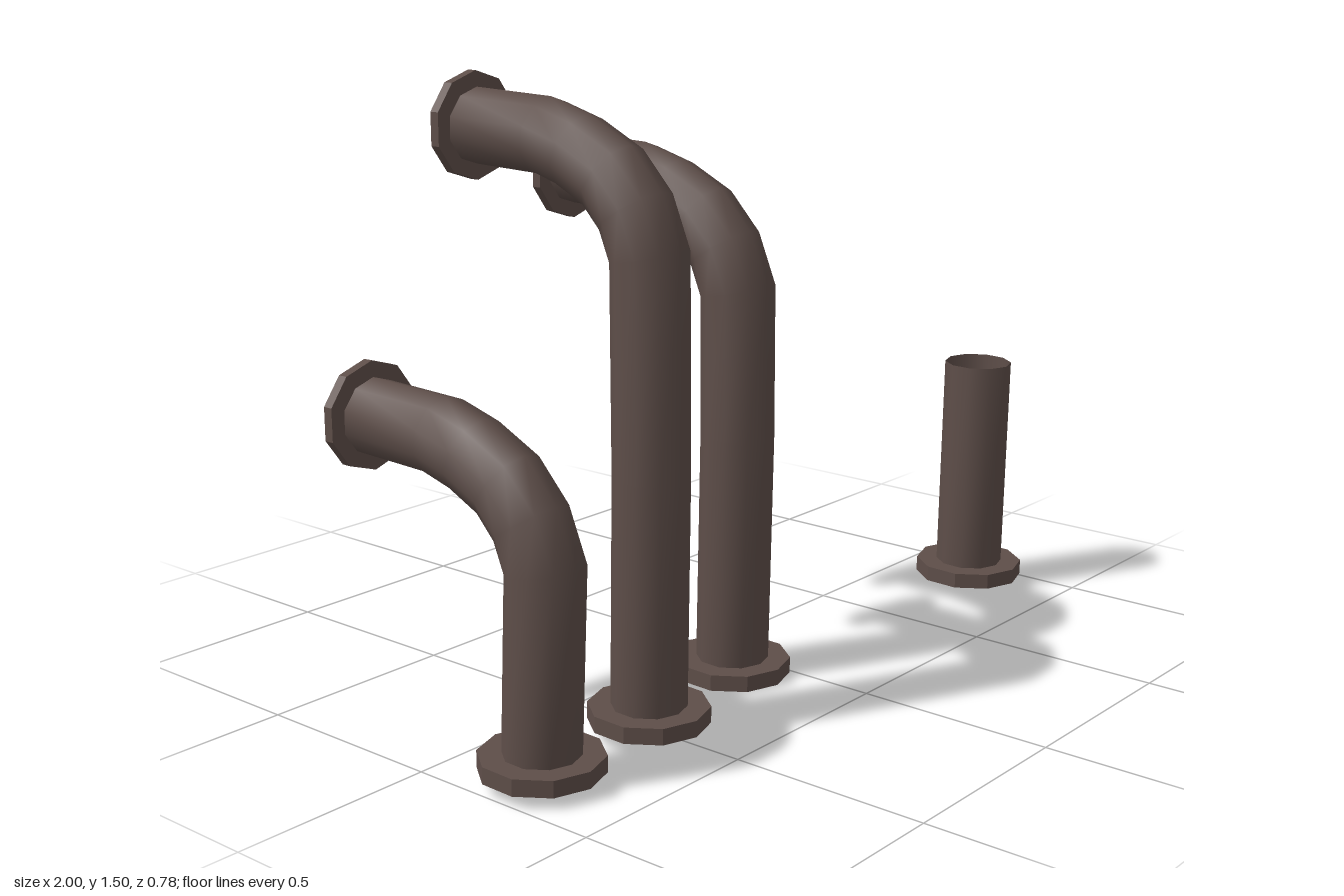
import * as THREE from 'three';

const SIDES = 10;
const PIPE_RADIUS = 0.09;

// Sweep a ten-sided ring along a path of [z, y] points, mitred at each bend
function sweepPipe(path) {
  const pts = path.map(([z, y]) => new THREE.Vector2(z, y));
  const positions = [];
  const indices = [];
  pts.forEach((p, i) => {
    const before = p.clone().sub(pts[Math.max(i - 1, 0)]).normalize();
    const after = pts[Math.min(i + 1, pts.length - 1)].clone().sub(p).normalize();
    const dir = before.clone().add(after).normalize();
    const stretch = 1 / dir.dot(i ? before : after);
    for (let k = 0; k < SIDES; k++) {
      const a = (k / SIDES) * Math.PI * 2;
      const out = Math.cos(a) * PIPE_RADIUS * stretch;
      positions.push(Math.sin(a) * PIPE_RADIUS, p.y - dir.x * out, p.x + dir.y * out);
      if (i < pts.length - 1) {
        const b = i * SIDES + k;
        const c = i * SIDES + ((k + 1) % SIDES);
        indices.push(b, c, c + SIDES, b, c + SIDES, b + SIDES);
      }
    }
  });
  const geometry = new THREE.BufferGeometry();
  geometry.setAttribute('position', new THREE.Float32BufferAttribute(positions, 3));
  geometry.setIndex(indices);
  geometry.computeVertexNormals();
  return geometry;
}

// Faceted ten-sided disc
function flangeGeometry(radius, thickness) {
  const geometry = new THREE.CylinderGeometry(radius, radius, thickness, SIDES).toNonIndexed();
  geometry.computeVertexNormals();
  return geometry;
}

export function createModel() {
  const model = new THREE.Group();
  const metal = new THREE.MeshStandardMaterial({ color: 0x5e4e49, side: THREE.DoubleSide });
  metal.name = 'dark brown metal';

  const baseFlange = flangeGeometry(0.145, 0.04);
  const endFlange = flangeGeometry(0.128, 0.025);

  // Elbow and outlet, as [z, y] offsets from the outlet centre
  const elbow = [
    [0.535, -0.252], [0.495, -0.155], [0.427, -0.083],
    [0.325, -0.034], [0.228, -0.007], [0, 0],
  ];

  function addPipe(name, x, baseY, baseZ, path, outlet) {
    const group = new THREE.Group();
    group.name = name;
    group.position.x = x;
    const add = (part, geometry, y, z, tilt) => {
      const mesh = new THREE.Mesh(geometry, metal);
      mesh.name = part;
      mesh.position.set(0, y, z);
      mesh.rotation.x = tilt;
      group.add(mesh);
    };
    add('pipe', sweepPipe([[baseZ, baseY], ...path]), 0, 0, 0);
    add('baseFlange', baseFlange, baseY, baseZ, 0.02);
    if (outlet) add('endFlange', endFlange, outlet[1], outlet[0] - 0.0125, -Math.PI / 2);
    model.add(group);
  }

  // Three bent pipes: name, x, base y, base z, outlet [z, y]
  [
    ['shortBentPipe', -0.865, 0.05, 0.243, [-0.27, 0.747]],
    ['tallBentPipe', -0.51, 0.05, 0.243, [-0.28, 1.374]],
    ['middleBentPipe', -0.095, 0.024, 0.155, [-0.365, 1.227]],
  ].forEach(([name, x, y, z, outlet]) => {
    const path = elbow.map(([dz, dy]) => [outlet[0] + dz, outlet[1] + dy]);
    // The shaft leans slightly forward before rising straight
    if (outlet[1] > 1) path.unshift([path[0][0], 0.62]);
    addPipe(name, x, y, z, path, outlet);
  });

  // Straight stub, open at the top
  addPipe('openStubPipe', 0.86, 0.05, 0.243, [[0.255, 0.643]], null);

  return model;
}
